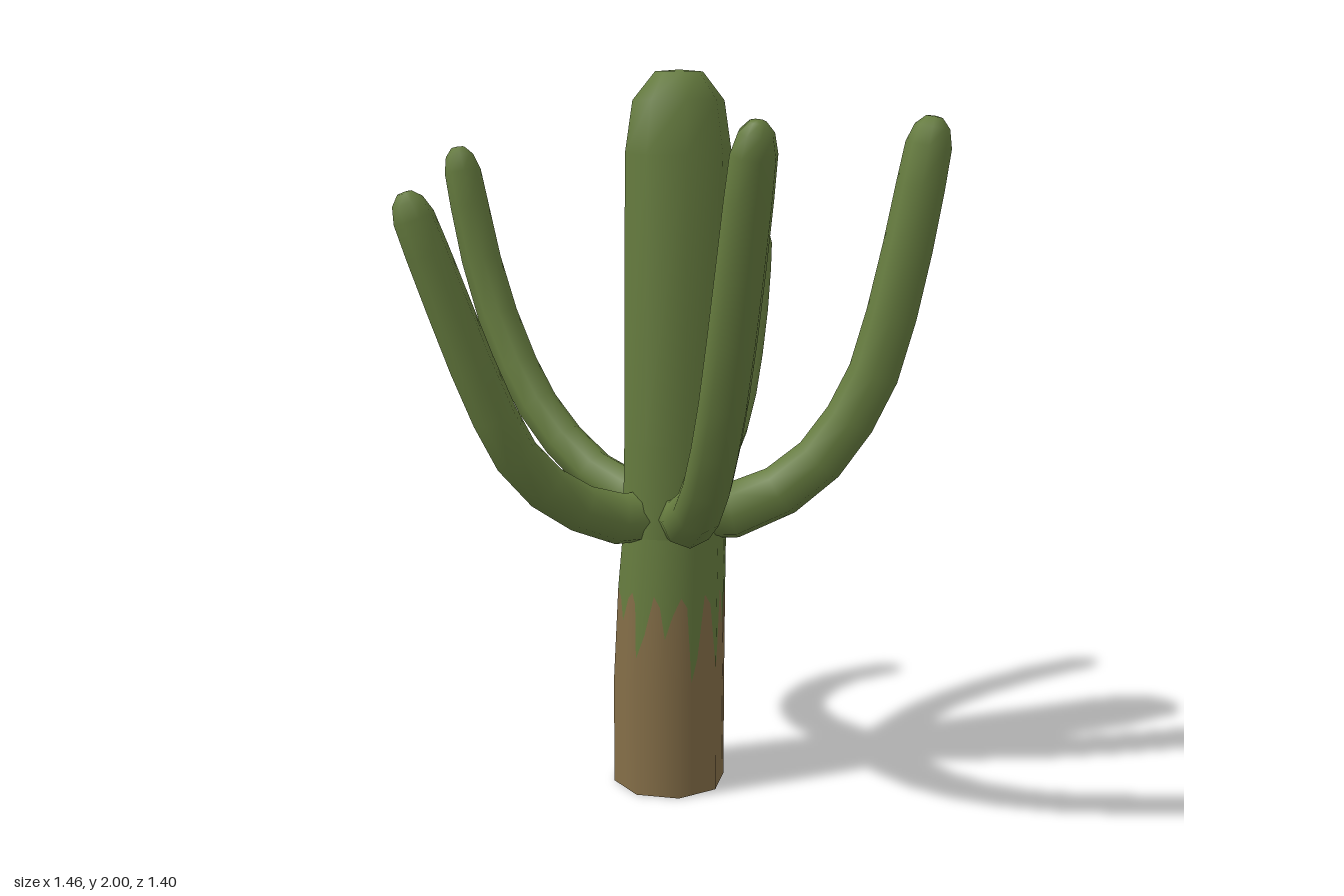
import * as THREE from 'three';

const V = (x, y, z) => new THREE.Vector3(x, y, z);

// Skin a list of closed rings (ordered bottom to top); optional centre points close the ends.
function loft(rings, startCap, endCap) {
  const n = rings[0].length, pos = [], idx = [];
  rings.forEach(r => r.forEach(p => pos.push(p.x, p.y, p.z)));
  for (let i = 0; i < rings.length - 1; i++) {
    for (let j = 0; j < n; j++) {
      const a = i * n + j, b = i * n + (j + 1) % n;
      idx.push(a, b, b + n, a, b + n, a + n);
    }
  }
  if (startCap) {
    const c = pos.length / 3;
    rings[0].forEach(p => pos.push(p.x, p.y, p.z));
    pos.push(startCap.x, startCap.y, startCap.z);
    for (let j = 0; j < n; j++) idx.push(c + n, c + (j + 1) % n, c + j);
  }
  if (endCap) {
    const c = pos.length / 3, base = (rings.length - 1) * n;
    pos.push(endCap.x, endCap.y, endCap.z);
    for (let j = 0; j < n; j++) idx.push(base + j, base + (j + 1) % n, c);
  }
  const g = new THREE.BufferGeometry();
  g.setAttribute('position', new THREE.Float32BufferAttribute(pos, 3));
  g.setIndex(idx);
  g.computeVertexNormals();
  return g;
}

// Trunk sections: height, centre x, centre z, radius x, radius z
const TRUNK = [
  [0, 0.01, -0.12, 0.16, 0.16],
  [0.42, 0.01, -0.12, 0.16, 0.155],
  [0.74, 0.025, -0.115, 0.147, 0.142],
  [1.0, 0.03, -0.113, 0.147, 0.135],
  [1.78, 0.035, -0.115, 0.146, 0.125],
  [1.92, 0.035, -0.115, 0.125, 0.108],
  [1.995, 0.036, -0.115, 0.065, 0.058],
];

// Point on the eight-sided trunk at a given angle and height
function trunkPoint(a, y) {
  let k = 0;
  while (k < TRUNK.length - 2 && y > TRUNK[k + 1][0]) k++;
  const A = TRUNK[k], B = TRUNK[k + 1];
  const t = (y - A[0]) / (B[0] - A[0]);
  const [, cx, cz, rx, rz] = A.map((v, i) => v + (B[i] - v) * t);
  const s = Math.PI / 4, w = ((a % s) + s) % s;
  const f = Math.cos(s / 2) / Math.cos(w - s / 2);
  return V(cx + rx * f * Math.sin(a), y, cz + rz * f * Math.cos(a));
}

// Ring around the trunk; height is a function of the column number
const trunkRing = (n, height) =>
  Array.from({ length: n }, (_, j) => trunkPoint(j / n * Math.PI * 2, height(j)));

// Give the side wall soft radial normals
function roundNormals(g, count, n) {
  for (let i = 0; i < count; i++) {
    const a = (i % n) / n * Math.PI * 2;
    g.attributes.normal.setXYZ(i, Math.sin(a), 0.03, Math.cos(a));
  }
  return g;
}

// Arm swept along a curve, with a flared root and a rounded tip
function armGeometry(points, radius, wide) {
  const curve = new THREE.CatmullRomCurve3(points.map(p => V(...p)));
  const first = points[0], last = points[points.length - 1];
  const heading = V(last[0] - first[0], 0, last[2] - first[2]).normalize();
  const side = V(0, 1, 0).cross(heading).normalize();
  const stations = [[0, 1.25], [0.1, 1.2], [0.2, 1.1], [0.3, 1.06], [0.4, 1.04], [0.5, 1.03],
    [0.62, 1.02], [0.75, 1], [0.87, 0.97], [0.945, 0.92], [0.98, 0.7], [0.998, 0.33]];
  const rings = stations.map(([t, k]) => {
    const c = curve.getPointAt(t), T = curve.getTangentAt(t);
    const norm = side.clone().cross(T).normalize();
    return Array.from({ length: 8 }, (_, j) => {
      const a = j / 8 * Math.PI * 2;
      return c.clone()
        .addScaledVector(side, Math.sin(a) * radius * k * wide)
        .addScaledVector(norm, Math.cos(a) * radius * k);
    });
  });
  return loft(rings, null, curve.getPointAt(1));
}

const ARMS = {
  frontArm: [0.062, 1, [[0.035, 0.79, -0.1], [0.035, 0.80, 0.04], [0.04, 0.90, 0.22], [0.045, 1.04, 0.34],
    [0.05, 1.19, 0.43], [0.06, 1.45, 0.53], [0.075, 1.87, 0.667]]],
  leftArm: [0.067, 1.15, [[0.05, 0.80, -0.1], [0.2, 0.805, -0.06], [0.3, 0.855, -0.03], [0.415, 0.96, 0.01],
    [0.535, 1.17, 0.045], [0.605, 1.45, 0.07], [0.68, 1.88, 0.092]]],
  backLeftArm: [0.057, 1, [[0.05, 0.80, -0.15], [0.12, 0.82, -0.26], [0.2, 0.89, -0.39], [0.27, 1.0, -0.485],
    [0.33, 1.22, -0.575], [0.355, 1.38, -0.615], [0.372, 1.557, -0.64]]],
  backRightArm: [0.058, 1, [[0, 0.80, -0.14], [-0.1, 0.825, -0.25], [-0.2, 0.89, -0.35], [-0.32, 1.04, -0.47],
    [-0.4, 1.22, -0.56], [-0.46, 1.42, -0.625], [-0.53, 1.79, -0.655]]],
  rightArm: [0.06, 1, [[-0.02, 0.79, -0.1], [-0.14, 0.79, -0.06], [-0.3, 0.865, -0.005], [-0.42, 0.985, 0.03],
    [-0.535, 1.235, 0.045], [-0.61, 1.44, 0.045], [-0.7, 1.69, 0.04]]],
};

export function createModel() {
  const green = new THREE.MeshStandardMaterial({ color: 0x667c3f });
  green.name = 'cactus green';
  const brown = new THREE.MeshStandardMaterial({ color: 0x836d47 });
  brown.name = 'bark brown';

  const model = new THREE.Group();
  model.name = 'cactus';
  const add = (name, geometry, material) => {
    const mesh = new THREE.Mesh(geometry, material);
    mesh.name = name;
    model.add(mesh);
  };

  // Bark and green skin share a ragged edge of drips
  const N = 48;
  const drips = [0.33, 0.36, 0.47, 0.40, 0.46, 0.38, 0.48, 0.42, 0.45, 0.49, 0.40, 0.46];
  const edge = j => {
    const low = drips[Math.floor(j / 4)];
    return [0.58, 0.55, low, low + 0.07][j % 4];
  };
  const lower = [trunkRing(N, () => 0), trunkRing(N, j => Math.min(0.3, edge(j))), trunkRing(N, edge)];
  add('barkBase', roundNormals(loft(lower, V(0.01, 0, -0.12)), N * 3, N), brown);
  const skin = [trunkRing(N, edge), trunkRing(N, () => 0.6), trunkRing(N, () => 0.74)];
  add('lowerTrunk', roundNormals(loft(skin), N * 3, N), green);

  // Upper trunk with a domed top
  const upper = TRUNK.slice(2).map(s => trunkRing(8, () => s[0]));
  add('upperTrunk', loft(upper, null, V(0.036, 2, -0.115)), green);

  // Five upturned arms
  for (const [name, [radius, wide, points]] of Object.entries(ARMS)) {
    add(name, armGeometry(points, radius, wide), green);
  }
  return model;
}
